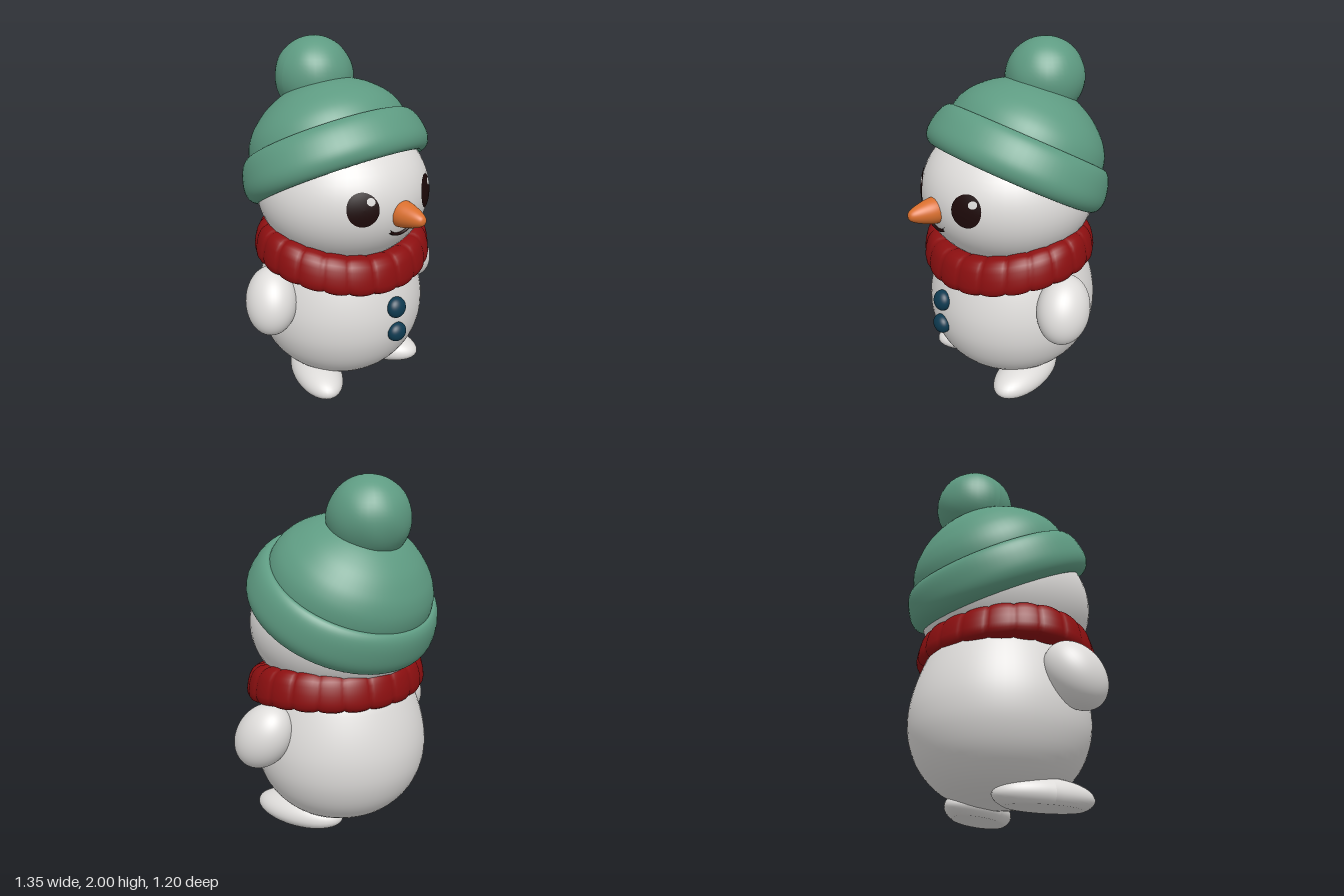
import * as THREE from 'three';

const mat = (name, color, side = THREE.FrontSide) => {
  const m = new THREE.MeshStandardMaterial({ color, side });
  m.name = name;
  return m;
};
const snow = mat('snowWhite', 0xdedcda);
const wool = mat('woolGreen', 0x5e9b82);
const red = mat('scarfRed', 0x8c0f10);
const navy = mat('buttonBlue', 0x0e3a50);
const orange = mat('carrotOrange', 0xd96f2e);
const dark = mat('faceDark', 0x1d0909);

// Head ellipsoid, shared by the head and the details laid on its face
const HEAD = { y: 1.18, z: -0.04, rx: 0.49, ry: 0.41, rz: 0.5 };
const faceZ = (x, y) =>
  HEAD.z + HEAD.rz * Math.sqrt(Math.max(0, 1 - (x / HEAD.rx) ** 2 - ((y - HEAD.y) / HEAD.ry) ** 2));

function mesh(name, geometry, material, parent, x = 0, y = 0, z = 0) {
  const m = new THREE.Mesh(geometry, material);
  m.name = name;
  m.position.set(x, y, z);
  parent.add(m);
  return m;
}

const ellipsoid = (rx, ry, rz) => new THREE.SphereGeometry(1, 48, 32).scale(rx, ry, rz);

// Smooth lathe through a few [radius, height] points, listed bottom to top
function lathe(points, divisions = 40) {
  const curve = new THREE.SplineCurve(points.map(([r, h]) => new THREE.Vector2(r, h)));
  const pts = curve.getPoints(divisions).map((p) => new THREE.Vector2(Math.max(0, p.x), p.y));
  return new THREE.LatheGeometry(pts, 64);
}

// Thin oval lying on the curved face
function faceOval(cx, cy, rx, ry, lift) {
  const g = new THREE.RingGeometry(0.001, 1, 40, 6).scale(rx, ry, 1);
  const p = g.attributes.position;
  for (let i = 0; i < p.count; i++) {
    const x = p.getX(i) + cx, y = p.getY(i) + cy;
    p.setXYZ(i, x, y, faceZ(x, y) + lift);
  }
  g.computeVertexNormals();
  return g;
}

// Ribbed ring that dips at the front and leans outward at its foot
function scarfGeometry() {
  const ribs = 22, perRib = 10, n = ribs * perRib, m = 20;
  const pos = [], idx = [];
  const round = (v) => Math.sign(v) * Math.abs(v) ** 0.75;
  for (let i = 0; i < n; i++) {
    const t = (i / n) * Math.PI * 2, c = Math.cos(t);
    const bulge = 0.9 + 0.1 * Math.sqrt(Math.abs(Math.sin((Math.PI * i) / perRib)));
    const cy = 0.895 - 0.055 * c - 0.05 * c * c;
    for (let j = 0; j < m; j++) {
      const f = (j / m) * Math.PI * 2;
      const dy = 0.106 * bulge * round(Math.sin(f));
      const dr = 0.08 * bulge * round(Math.cos(f)) - 0.2 * dy;
      pos.push((0.45 + dr) * Math.sin(t), cy + dy, -0.035 + (0.39 + dr) * c);
      const a = i * m + j, b = ((i + 1) % n) * m + j;
      const d = i * m + ((j + 1) % m), e = ((i + 1) % n) * m + ((j + 1) % m);
      idx.push(a, b, e, a, e, d);
    }
  }
  const g = new THREE.BufferGeometry();
  g.setAttribute('position', new THREE.Float32BufferAttribute(pos, 3));
  g.setIndex(idx);
  g.computeVertexNormals();
  return g;
}

// Low rounded foot with a flattened sole
function footGeometry() {
  const g = new THREE.SphereGeometry(1, 40, 28);
  const p = g.attributes.position;
  for (let i = 0; i < p.count; i++) {
    const y = p.getY(i);
    p.setXYZ(i, p.getX(i) * 0.14, y > 0 ? y * 0.1 : -0.055 * Math.min(1, -y * 1.6), p.getZ(i) * 0.28);
  }
  g.computeVertexNormals();
  return g;
}

export function createModel() {
  const model = new THREE.Group();
  model.name = 'snowman';

  // Body and head
  mesh('body', lathe([[0, 0.04], [0.16, 0.05], [0.31, 0.11], [0.42, 0.22], [0.48, 0.35], [0.497, 0.48],
    [0.482, 0.61], [0.44, 0.75], [0.39, 0.85], [0.28, 0.94], [0, 1]]), snow, model, 0, 0, -0.07);
  mesh('head', ellipsoid(HEAD.rx, HEAD.ry, HEAD.rz), snow, model, 0, HEAD.y, HEAD.z);

  // Arms, feet and eyes on both sides
  for (const [side, s] of [['left', 1], ['right', -1]]) {
    const arm = mesh(side + 'Arm', ellipsoid(0.14, 0.195, 0.155), snow, model, s * 0.525, 0.625, -0.035);
    arm.rotation.set(-0.5, 0, s * 0.35);
    const foot = mesh(side + 'Foot', footGeometry(), snow, model, s * 0.25, 0.06, 0.005);
    foot.rotation.y = s * 0.35;
    mesh(side + 'Eye', faceOval(s * 0.23, 1.215, 0.076, 0.092, 0.005), dark, model);
    mesh(side + 'EyeGlint', faceOval(s * 0.23 + 0.035, 1.258, 0.021, 0.021, 0.009), snow, model);
  }

  // Carrot nose
  const nose = mesh('nose', lathe([[0.075, 0], [0.072, 0.08], [0.058, 0.14], [0.04, 0.19], [0.022, 0.218], [0, 0.226]]),
    orange, model, 0, 1.155, 0.384);
  nose.rotation.x = Math.PI / 2;

  // Smile
  const smile = [-0.08, -0.045, 0, 0.045, 0.08].map((x) => {
    const y = 1.036 + 5 * x * x;
    return new THREE.Vector3(x, y, faceZ(x, y) + 0.004);
  });
  mesh('mouth', new THREE.TubeGeometry(new THREE.CatmullRomCurve3(smile), 24, 0.009, 8), dark, model);

  // Coat buttons
  mesh('upperButton', ellipsoid(0.06, 0.06, 0.045), navy, model, 0, 0.583, 0.426).rotation.x = -0.2;
  mesh('lowerButton', ellipsoid(0.06, 0.056, 0.045), navy, model, 0, 0.43, 0.435);

  mesh('scarf', scarfGeometry(), red, model);

  // Hat tipped backwards: crown and rolled brim
  const hat = new THREE.Group();
  hat.name = 'hat';
  hat.position.set(0, 1.231, -0.05);
  hat.rotation.x = -0.506;
  hat.scale.x = 1.04;
  model.add(hat);
  mesh('hatCrown', lathe([[0.44, 0.12], [0.455, 0.21], [0.447, 0.28], [0.42, 0.345], [0.37, 0.41], [0.28, 0.485],
    [0.15, 0.545], [0, 0.565]]), wool, hat);
  mesh('hatBrim', lathe([[0.41, 0.04], [0.45, 0.005], [0.495, 0.005], [0.525, 0.04], [0.533, 0.095], [0.517, 0.175],
    [0.49, 0.23], [0.455, 0.248], [0.42, 0.2]]), wool, hat);

  // Slightly lumpy pompom
  const pom = new THREE.SphereGeometry(0.224, 40, 28);
  const p = pom.attributes.position;
  for (let i = 0; i < p.count; i++) {
    const x = p.getX(i), y = p.getY(i), z = p.getZ(i);
    const k = 1 + 0.01 * Math.sin(28 * x) * Math.sin(26 * y + 1) * Math.cos(27 * z);
    p.setXYZ(i, x * k, y * k, z * k);
  }
  pom.computeVertexNormals();
  mesh('pompom', pom, wool, model, 0, 1.776, -0.285);

  return model;
}
